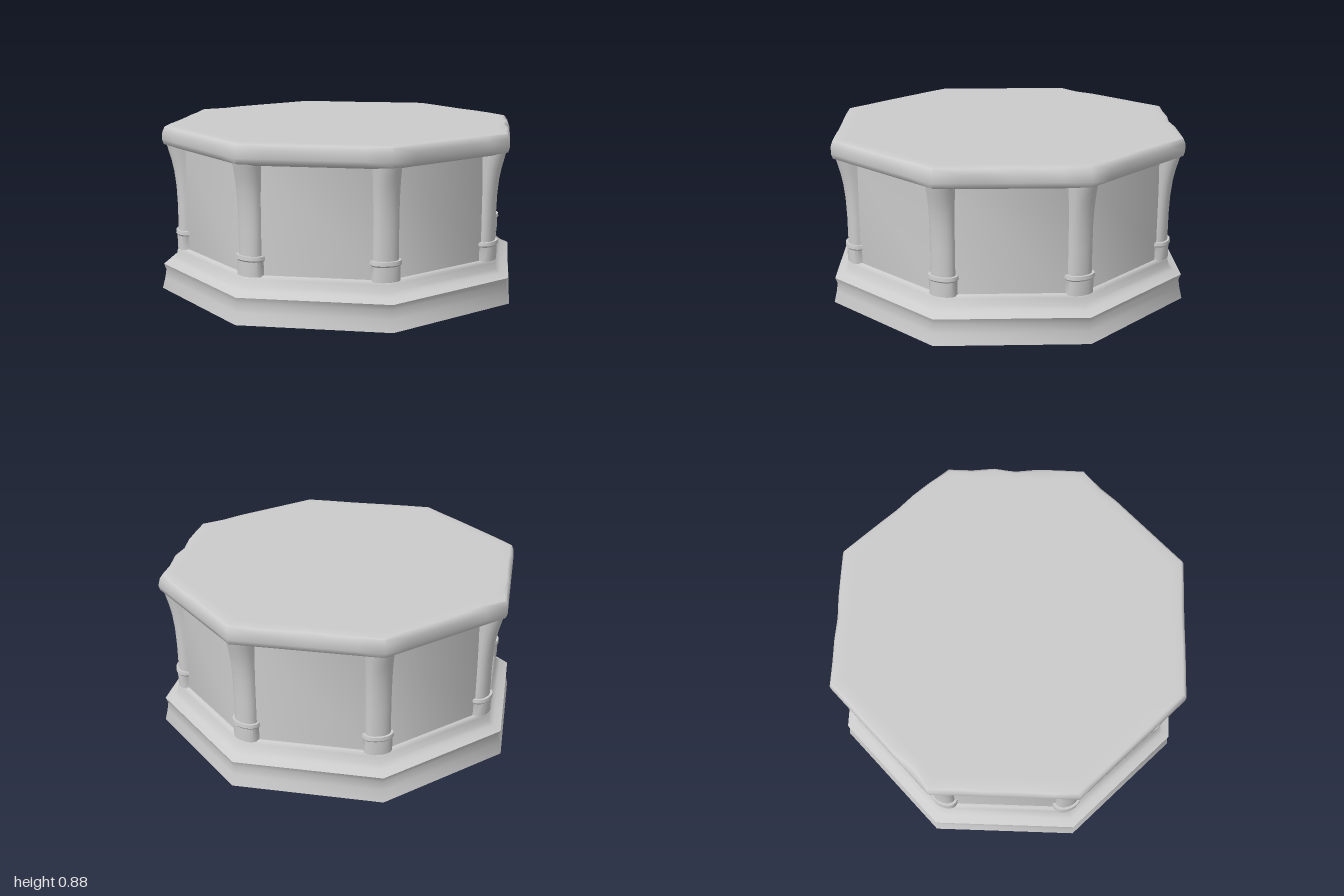
import * as THREE from 'three';
import { mergeVertices, toCreasedNormals } from 'three/addons/utils/BufferGeometryUtils.js';

const SIDES = 8;
const STEP = (Math.PI * 2) / SIDES;
const stone = new THREE.MeshStandardMaterial({ color: 0xcccccc, side: THREE.DoubleSide });

function seeded(seed) {
  return () => (seed = (seed * 16807) % 2147483647) / 2147483647;
}

// Octagonal ring with corners on the axes; wear(x, y, z) returns a scale on the radius
function octagon(name, profile, perSide = 1, wear = null) {
  const pts = profile.map(([r, y]) => new THREE.Vector2(r, y));
  let geo = new THREE.LatheGeometry(pts, SIDES * perSide);
  geo.deleteAttribute('normal');
  geo.deleteAttribute('uv');
  const p = geo.attributes.position;
  for (let i = 0; i < p.count; i++) {
    const x = p.getX(i), y = p.getY(i), z = p.getZ(i);
    // angle from the nearest side's middle
    const a = ((Math.atan2(x, z) + Math.PI * 2 + 1e-6) % STEP) - STEP / 2;
    let k = Math.cos(STEP / 2) / Math.cos(a);
    if (wear) k *= wear(x, y, z);
    p.setXYZ(i, x * k, y, z * k);
  }
  geo = mergeVertices(geo, 1e-4);
  geo = toCreasedNormals(geo, 1.0);
  const mesh = new THREE.Mesh(geo, stone);
  mesh.name = name;
  return mesh;
}

// Half-round upright swept through levels of [y, half width, front radius]
function upright(name, levels) {
  const inner = 0.845;
  const geo = new THREE.PlaneGeometry(1, 1, 10, levels.length - 1);
  const p = geo.attributes.position;
  for (let i = 0; i < p.count; i++) {
    const [y, w, front] = levels[Math.floor(i / 11)];
    const t = ((i % 11) / 10 - 0.5) * Math.PI;
    const bulge = Math.pow(Math.max(Math.cos(t), 0), 0.65);
    p.setXYZ(i, w * Math.sin(t), y, inner + (front - inner) * bulge);
  }
  const mesh = new THREE.Mesh(toCreasedNormals(geo, 0.7), stone);
  mesh.name = name;
  return mesh;
}

export function createModel() {
  const model = new THREE.Group();
  model.name = 'octagonalPlinth';

  // Moulded foot, open underneath
  model.add(octagon('foot', [
    [1.0, 0], [0.985, 0.06], [0.978, 0.105], [0.99, 0.135],
    [0.945, 0.155], [0.92, 0.175], [0.915, 0.208], [0.902, 0.225], [0.885, 0.225],
  ]));

  // Wall panels
  model.add(octagon('wall', [[0.888, 0.22], [0.888, 0.79]]));

  // Top slab with a worn, chipped upper edge
  const rand = seeded(77);
  const chips = Array.from({ length: SIDES * 6 }, () => Math.pow(rand(), 4) * 0.022);
  const wear = (x, y, z) => {
    if (y < 0.84 || Math.hypot(x, z) < 0.94) return 1;
    const i = Math.round(((Math.atan2(x, z) / (Math.PI * 2)) + 1) * chips.length) % chips.length;
    return 1 - chips[i] * (y > 0.87 ? 1 : 0.5);
  };
  model.add(octagon('topSlab', [
    [0.885, 0.768], [0.935, 0.772], [0.968, 0.785], [0.976, 0.81],
    [0.976, 0.85], [0.966, 0.877], [0.955, 0.88], [0.9, 0.88], [0, 0.88],
  ], 6, wear));

  // A flared shaft and collar on every corner
  for (let i = 0; i < SIDES; i++) {
    const pilaster = new THREE.Group();
    pilaster.name = 'pilaster' + (i + 1);
    pilaster.add(upright('shaft', [
      [0.785, 0.07, 0.953], [0.75, 0.069, 0.944], [0.7, 0.067, 0.93], [0.64, 0.066, 0.918],
      [0.56, 0.065, 0.909], [0.46, 0.065, 0.905], [0.3, 0.065, 0.905],
    ]));
    pilaster.add(upright('collar', [
      [0.322, 0.064, 0.9], [0.322, 0.078, 0.917], [0.303, 0.08, 0.919],
      [0.295, 0.074, 0.912], [0.22, 0.074, 0.912],
    ]));
    pilaster.rotation.y = i * STEP;
    model.add(pilaster);
  }
  return model;
}
